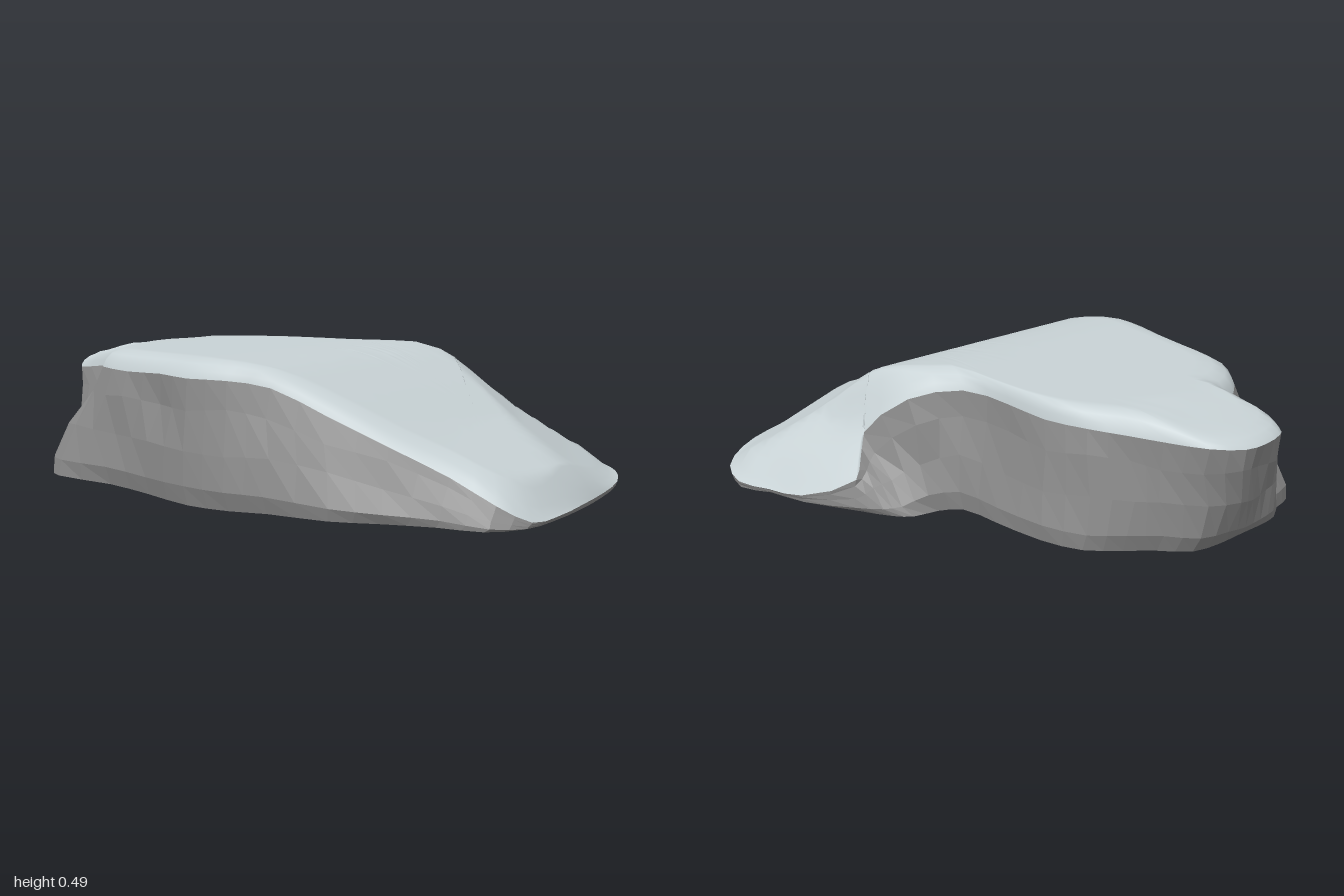
import * as THREE from 'three';

const N = 76; // points around each ring, two per outline point

// Snow lip outline: x, y, z, running front, +x end, back, -x end
const LIP = [
  [-0.98, 0.39, 0.3], [-0.93, 0.38, 0.36], [-0.82, 0.39, 0.35], [-0.71, 0.4, 0.36],
  [-0.67, 0.41, 0.46], [-0.58, 0.42, 0.56], [-0.4, 0.42, 0.61], [-0.2, 0.43, 0.65],
  [-0.04, 0.43, 0.69], [0.1, 0.43, 0.66], [0.22, 0.41, 0.59], [0.4, 0.33, 0.53],
  [0.58, 0.25, 0.47], [0.76, 0.17, 0.41], [0.9, 0.1, 0.38], [0.98, 0.05, 0.31],
  [1, 0.05, 0.2], [0.98, 0.05, 0], [0.95, 0.05, -0.2], [0.9, 0.05, -0.4],
  [0.81, 0.05, -0.57], [0.7, 0.04, -0.69], [0.57, 0.03, -0.73], [0.42, 0.04, -0.7],
  [0.26, 0.06, -0.67], [0.09, 0.14, -0.56], [0.12, 0.2, -0.52], [0.17, 0.26, -0.47],
  [0.03, 0.4, -0.38], [-0.09, 0.43, -0.24], [-0.3, 0.43, -0.22], [-0.45, 0.42, -0.21],
  [-0.6, 0.42, -0.17], [-0.71, 0.41, -0.1], [-0.8, 0.4, -0.04], [-0.93, 0.4, 0.02],
  [-0.99, 0.39, 0.12], [-1, 0.39, 0.2],
];
// Matching rock foot outline: x, z
const FOOT = [
  [-0.9, 0.3], [-0.9, 0.38], [-0.89, 0.45], [-0.85, 0.52], [-0.83, 0.6], [-0.74, 0.65],
  [-0.48, 0.64], [-0.25, 0.675], [-0.03, 0.715], [0.13, 0.695], [0.25, 0.65], [0.46, 0.61],
  [0.6, 0.54], [0.76, 0.47], [0.9, 0.43], [0.97, 0.33], [0.98, 0.2], [0.97, 0],
  [0.94, -0.2], [0.89, -0.4], [0.8, -0.57], [0.69, -0.68], [0.57, -0.72], [0.42, -0.69],
  [0.26, -0.66], [0.08, -0.57], [-0.03, -0.51], [-0.08, -0.46], [-0.1, -0.37], [-0.15, -0.3],
  [-0.3, -0.285], [-0.5, -0.265], [-0.64, -0.215], [-0.73, -0.12], [-0.8, -0.04], [-0.88, 0.04],
  [-0.9, 0.15], [-0.9, 0.22],
];

// Snow heights along x, along z, and towards the low back corner (x - 0.6 z)
const ALONG_X = [[-1, 0.42], [-0.9, 0.43], [-0.8, 0.45], [-0.7, 0.48], [0, 0.492], [0.12, 0.485], [0.2, 0.468], [0.28, 0.435], [0.4, 0.38], [0.6, 0.28], [0.9, 0.16], [1, 0.06]];
const ALONG_Z = [[-0.73, 0.03], [-0.6, 0.15], [-0.46, 0.27], [-0.41, 0.38], [-0.36, 0.46], [-0.3, 0.5]];
const TO_CORNER = [[0.38, 0.5], [0.5, 0.42], [0.75, 0.255], [0.95, 0.145], [1.12, 0.06]];

function profile(points, v) {
  if (v <= points[0][0]) return points[0][1];
  for (let i = 1; i < points.length; i++) {
    const [a, ya] = points[i - 1], [b, yb] = points[i];
    if (v <= b) return ya + (yb - ya) * (v - a) / (b - a);
  }
  return points[points.length - 1][1];
}
const snowHeight = (x, z) => Math.min(profile(ALONG_X, x), profile(ALONG_Z, z), profile(TO_CORNER, x - 0.6 * z));

function ring(points) {
  const curve = new THREE.CatmullRomCurve3(points.map(p => new THREE.Vector3(...p)), true, 'centripetal');
  return Array.from({ length: N }, (_, i) => curve.getPoint(i / N));
}

// Skin closed rings, ordered from the outside/bottom to the inside/top
function loft(rows) {
  const index = [];
  for (let r = 0; r < rows.length - 1; r++) {
    for (let i = 0; i < N; i++) {
      const j = (i + 1) % N, a = r * N, b = a + N;
      index.push(a + i, a + j, b + i, a + j, b + j, b + i);
    }
  }
  const geometry = new THREE.BufferGeometry().setFromPoints(rows.flat());
  geometry.setIndex(index);
  geometry.computeVertexNormals();
  return geometry;
}

function seeded(seed) {
  return () => (seed = (seed * 16807) % 2147483647) / 2147483647 - 0.5;
}

// Move a point horizontally towards a centre by a fixed distance
function inset(p, centre, distance) {
  const dir = new THREE.Vector3(centre.x - p.x, 0, centre.z - p.z).normalize();
  return p.clone().addScaledVector(dir, distance);
}

export function createModel() {
  const group = new THREE.Group();
  group.name = 'snowyRock';
  const snow = new THREE.MeshStandardMaterial({ color: 0xc8d2d5, side: THREE.DoubleSide });
  snow.name = 'snow';
  const rock = new THREE.MeshStandardMaterial({ color: 0x8a8a8a, side: THREE.DoubleSide, flatShading: true });
  rock.name = 'rock';

  const lip = ring(LIP);
  const foot = ring(FOOT.map(([x, z]) => [x, z < -0.4 ? 0.03 - 0.03 * Math.exp(-(((x - 0.6) / 0.15) ** 2)) : 0.03, z]));
  const centre = new THREE.Vector3(0.55, 0, -0.05);

  // Snow cap: rounded lip of even width, then the height field closing on the centre
  const rounding = [[0, 0], [0.012, 0.4], [0.035, 0.75], [0.08, 1]];
  const snowRows = rounding.map(([d, w]) => lip.map(p => {
    const q = inset(p, centre, d);
    q.y = THREE.MathUtils.lerp(p.y, Math.max(p.y, snowHeight(q.x, q.z)), w);
    return q;
  }));
  const brim = snowRows[snowRows.length - 1];
  const steps = 20;
  for (let s = 1; s <= steps; s++) {
    snowRows.push(brim.map(p => {
      const q = p.clone().lerp(centre, s / steps);
      q.y = snowHeight(q.x, q.z);
      return q;
    }));
  }
  const snowCap = new THREE.Mesh(loft(snowRows), snow);
  snowCap.name = 'snowCap';

  // Rock wall: open underneath, tucked in at the foot, with broad uneven facets
  const random = seeded(11);
  const middle = new THREE.Vector3(0, 0, 0.1);
  const rockRows = [foot.map(p => inset(p, middle, 0.01))];
  for (const [v, roughness, bulge] of [[0.15, 0.012, 0.014], [0.45, 0.03, 0.012], [0.78, 0.025, 0.004]]) {
    const bumps = Array.from({ length: N / 2 }, () => new THREE.Vector3(random(), random(), random()));
    rockRows.push(foot.map((p, i) => {
      const bump = bumps[i >> 1].clone();
      if (i % 2) bump.lerp(bumps[((i >> 1) + 1) % bumps.length], 0.5);
      const fade = Math.min(1, (lip[i].y - p.y) * 4);
      return inset(p.clone().lerp(lip[i], v), middle, -bulge * fade).addScaledVector(bump, roughness * fade);
    }));
  }
  rockRows.push(lip);
  const rockWall = new THREE.Mesh(loft(rockRows), rock);
  rockWall.name = 'rockWall';

  group.add(snowCap, rockWall);
  return group;
}
